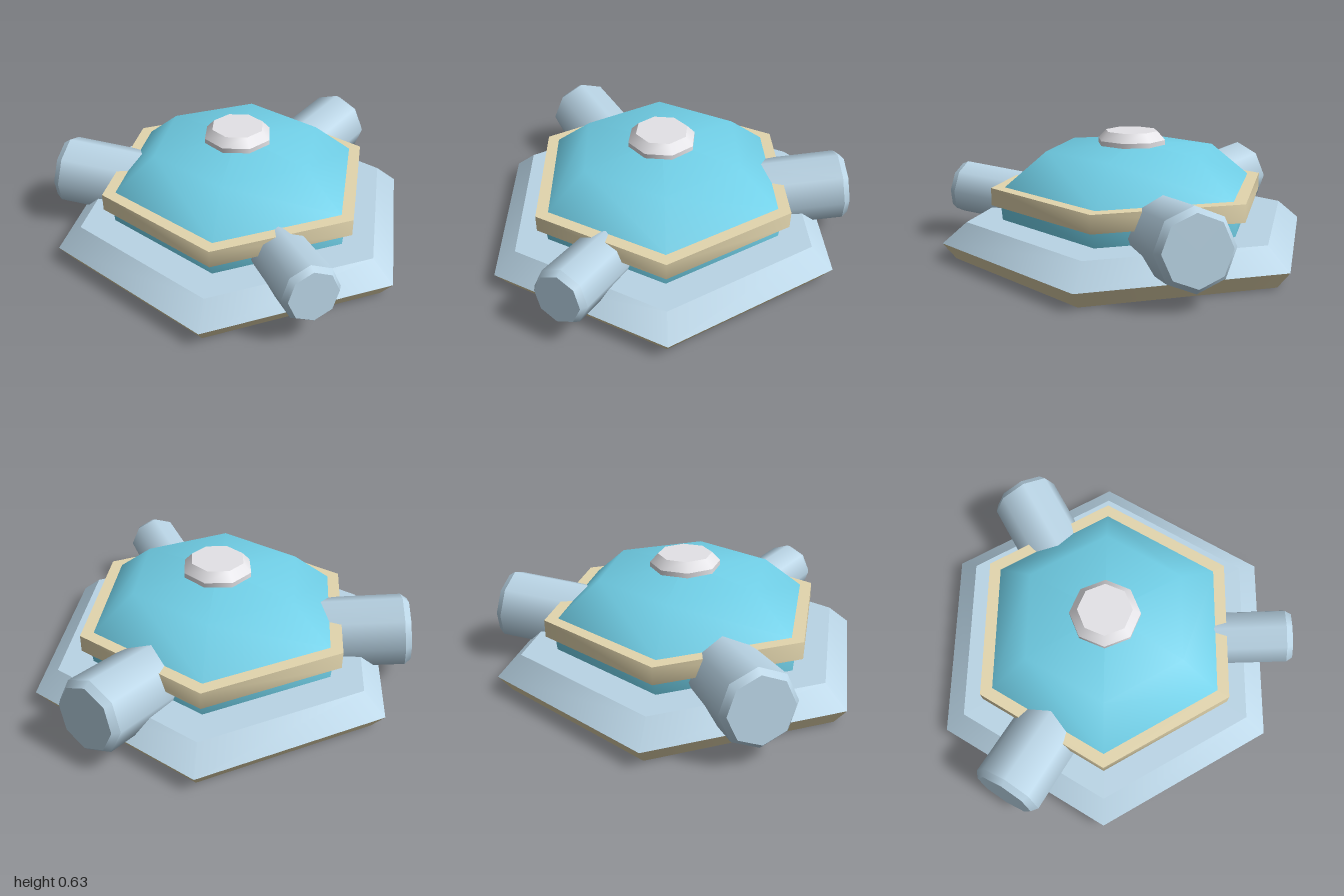
import * as THREE from 'three';
import { toCreasedNormals } from 'three/addons/utils/BufferGeometryUtils.js';

const mat = (name, color) => {
  const m = new THREE.MeshStandardMaterial({ color });
  m.name = name;
  return m;
};

export function createModel() {
  const model = new THREE.Group();
  model.name = 'bunker';
  const steel = mat('blue grey', 0xbad5e6);
  const sand = mat('sand', 0xe3d6ae);
  const teal = mat('teal', 0x71d0e8);
  const pale = mat('pale grey', 0xe6e5e9);
  const dark = mat('dark underside', 0x7b7b8c);

  // The hexagonal body sits slightly behind the middle
  const body = new THREE.Group();
  body.name = 'body';
  body.position.z = -0.078;
  model.add(body);

  const add = (parent, name, geometry, material) => {
    const mesh = new THREE.Mesh(geometry, material);
    mesh.name = name;
    parent.add(mesh);
  };
  // Prism or frustum between two heights, with corners on the x axis
  const frustum = (rTop, rBottom, y0, y1, sides) =>
    new THREE.CylinderGeometry(rTop, rBottom, y1 - y0, sides, 1, false, Math.PI / 2)
      .translate(0, (y0 + y1) / 2, 0);

  // Base: flared skirt with dark underside, sloped deck above it
  add(body, 'baseSkirt', frustum(1, 0.935, 0, 0.085, 6), [sand, sand, dark]);
  add(body, 'baseDeck', frustum(0.875, 1, 0.085, 0.189, 6), steel);

  // Smooth six-sided dome
  const profile = [[0.69, 0.18], [0.7, 0.3], [0.675, 0.36], [0.457, 0.537], [0, 0.575]]
    .map(([r, y]) => new THREE.Vector2(r, y));
  add(body, 'dome', new THREE.LatheGeometry(profile, 6, Math.PI / 2), teal);

  // Hexagonal band around the dome, shaded smoothly round its corners
  const hexagon = (r) => Array.from({ length: 6 }, (_, i) =>
    new THREE.Vector2(r * Math.cos(i * Math.PI / 3), r * Math.sin(i * Math.PI / 3)));
  const band = new THREE.Shape(hexagon(0.745));
  band.holes.push(new THREE.Path(hexagon(0.672)));
  const bandGeo = new THREE.ExtrudeGeometry(band, { depth: 0.09, bevelEnabled: false });
  bandGeo.rotateX(-Math.PI / 2).translate(0, 0.27, 0);
  add(body, 'band', toCreasedNormals(bandGeo, Math.PI * 0.4), sand);

  // Roof hatch
  add(body, 'hatchRim', frustum(0.182, 0.182, 0.56, 0.585, 8), pale);
  add(body, 'hatchTop', frustum(0.14, 0.182, 0.585, 0.63, 8), pale);

  // Three slightly raised arms, the front one slimmer
  const arms = [['frontArm', 0, 0.147], ['backLeftArm', 1, 0.187], ['backRightArm', 2, 0.187]];
  for (const [name, turn, r] of arms) {
    const spin = new THREE.Group();
    spin.name = name;
    spin.rotation.y = turn * Math.PI * 2 / 3;
    const tilt = new THREE.Group();
    tilt.name = name + 'Tilt';
    tilt.position.set(0, 0.273, 1.005);
    tilt.rotation.x = -0.125;
    spin.add(tilt);
    body.add(spin);
    add(tilt, name + 'Barrel', frustum(r, r, -0.6, -0.032, 8).rotateX(Math.PI / 2), steel);
    add(tilt, name + 'Tip', frustum(r * 0.86, r, -0.032, 0, 8).rotateX(Math.PI / 2), steel);
  }
  return model;
}
